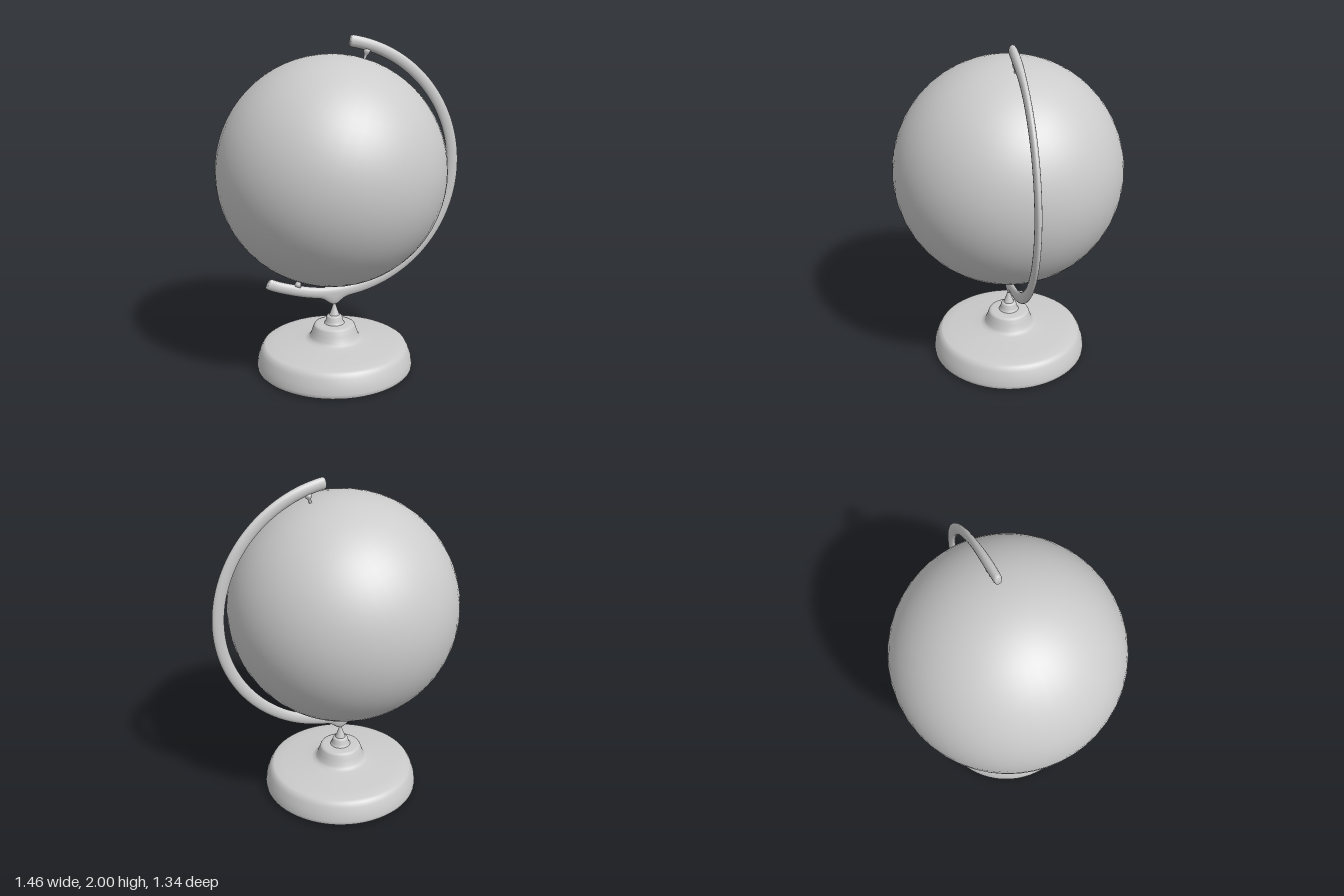
import * as THREE from 'three';

const CX = -0.057, CY = 1.228, R = 0.672; // ball centre and radius
const BASE_X = -0.042;
const TILT = THREE.MathUtils.degToRad(17);

const material = new THREE.MeshStandardMaterial({ color: 0xcccccc });

function addMesh(parent, name, geometry, x = 0, y = 0) {
  const mesh = new THREE.Mesh(geometry, material);
  mesh.name = name;
  mesh.position.set(x, y, 0);
  parent.add(mesh);
  return mesh;
}

function lathe(points, segments) {
  return new THREE.LatheGeometry(points.map(([r, y]) => new THREE.Vector2(r, y)), segments);
}

// Curved bar: oval sections swept around the ball, with rounded ends and a boss underneath
function armGeometry() {
  const rings = 160, sides = 16;
  const start = THREE.MathUtils.degToRad(-120.8), end = THREE.MathUtils.degToRad(81.8);
  const bossAngle = THREE.MathUtils.degToRad(-89);
  const bump = (a, centre, width) => Math.exp(-(((a - centre) / width) ** 2));
  const positions = [], indices = [];
  for (let i = 0; i <= rings; i++) {
    // ease the spacing so the rounded ends get more rings
    const t = i / rings;
    const a = start + (end - start) * (t - Math.sin(2 * Math.PI * t) / (2 * Math.PI) * 0.85);
    const fromEnd = Math.min(a - start, end - a) * 0.75;
    const k = fromEnd >= 0.022 ? 1 : Math.sqrt(Math.max(0, 1 - (1 - fromEnd / 0.022) ** 2));
    const cap = k === 1 ? 1 : 0.6 * Math.min(1, k * 3) + 0.4 * k;
    const radius = 0.751 + 0.014 * bump(a, start, 0.15);
    const depth = 0.019 + 0.006 * (bump(a, end - 0.15, 0.2) + bump(a, start + 0.2, 0.25));
    const boss = 0.046 * bump(a, bossAngle, 0.062);
    for (let j = 0; j < sides; j++) {
      const b = (j / sides) * Math.PI * 2;
      const c = Math.cos(b);
      const r = radius + cap * c * 0.035 + (c > 0 ? boss * c : 0);
      positions.push(r * Math.cos(a), r * Math.sin(a), cap * depth * Math.sin(b));
      if (i < rings) {
        const p = i * sides + j, q = i * sides + (j + 1) % sides;
        indices.push(p, q, p + sides, q, q + sides, p + sides);
      }
    }
  }
  // orient the faces outward
  for (let i = 0; i < indices.length; i += 3) {
    [indices[i + 1], indices[i + 2]] = [indices[i + 2], indices[i + 1]];
  }
  const geometry = new THREE.BufferGeometry();
  geometry.setAttribute('position', new THREE.Float32BufferAttribute(positions, 3));
  geometry.setIndex(indices);
  // check the sign of the volume so the winding always faces out
  let volume = 0;
  const v = [0, 1, 2].map(() => new THREE.Vector3());
  for (let i = 0; i < indices.length; i += 3) {
    v.forEach((p, n) => p.fromArray(positions, indices[i + n] * 3));
    volume += v[0].dot(v[1].cross(v[2]));
  }
  if (volume < 0) geometry.setIndex(indices.reverse());
  geometry.computeVertexNormals();
  return geometry;
}

export function createModel() {
  const group = new THREE.Group();
  group.name = 'deskGlobe';

  // Ball and its two pivots share the tilted axis
  const axis = new THREE.Group();
  axis.name = 'tiltedBall';
  axis.position.set(CX, CY, 0);
  axis.rotation.z = -TILT;
  group.add(axis);
  addMesh(axis, 'ball', new THREE.SphereGeometry(R, 48, 32));
  const pivot = lathe([[0.009, 0.655], [0.008, 0.684], [0.011, 0.695], [0.018, 0.706], [0.022, 0.724], [0, 0.73]], 12);
  addMesh(axis, 'topPivot', pivot);
  addMesh(axis, 'bottomPivot', pivot).rotation.z = Math.PI;

  // Bar
  addMesh(group, 'arm', armGeometry(), CX, CY);

  // Base: skirt and shoulder
  addMesh(group, 'baseBody', lathe([
    [0.466, 0.008], [0.474, 0.016], [0.475, 0.035], [0.468, 0.075], [0.452, 0.12],
    [0.438, 0.144], [0.42, 0.154], [0.36, 0.164], [0.25, 0.175], [0.18, 0.182],
    [0.158, 0.19], [0.147, 0.205], [0.136, 0.235], [0.126, 0.265], [0.12, 0.274], [0.105, 0.279], [0.06, 0.281],
  ], 64), BASE_X);

  // Base: collar and pointed spindle
  addMesh(group, 'collar', lathe([
    [0.066, 0.277], [0.058, 0.284], [0.052, 0.3], [0.047, 0.322], [0.043, 0.329], [0.03, 0.333],
  ], 32), BASE_X);
  addMesh(group, 'spindle', lathe([
    [0.032, 0.33], [0.028, 0.342], [0.018, 0.368], [0.009, 0.398], [0.007, 0.415], [0, 0.42],
  ], 24), BASE_X);

  // Underside ring with a hollow in the middle
  addMesh(group, 'underside', lathe([[0.17, 0.004], [0.466, 0.008]], 64), BASE_X);
  addMesh(group, 'hollow', lathe([
    [0, 0.12], [0.09, 0.118], [0.115, 0.108], [0.13, 0.08], [0.14, 0.045], [0.152, 0.018], [0.17, 0.004],
  ], 48), BASE_X);

  // Rest exactly on the ground
  group.children.forEach((part) => { if (part.position.x === BASE_X) part.position.y = 0; });
  return group;
}
